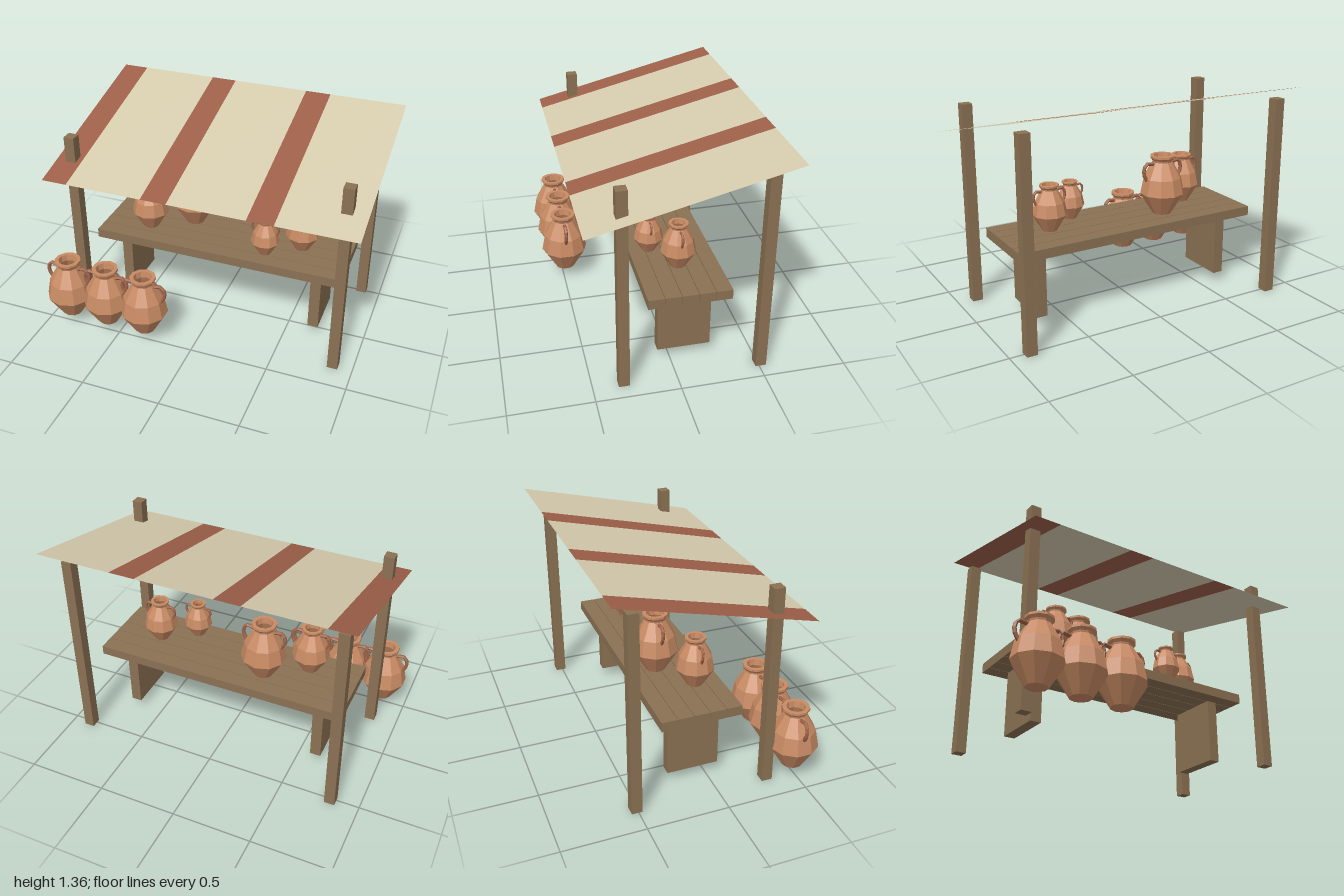
import * as THREE from 'three';

const flat = (name, color, extra = {}) => {
  const m = new THREE.MeshStandardMaterial({ color, flatShading: true, ...extra });
  m.name = name;
  return m;
};

export function createModel() {
  const wood = flat('wood', 0x8b7153);
  const clay = flat('clay', 0xc98b64);
  const darkClay = flat('dark clay', 0xa0654a);
  const cream = flat('cream cloth', 0xd6ccae, { side: THREE.DoubleSide });
  const red = flat('red cloth', 0x9e6049, { side: THREE.DoubleSide });

  const model = new THREE.Group();
  model.name = 'marketStall';

  const add = (name, geometry, material, parent, x = 0, y = 0, z = 0) => {
    const mesh = new THREE.Mesh(geometry, material);
    mesh.name = name;
    mesh.position.set(x, y, z);
    parent.add(mesh);
    return mesh;
  };

  // Four corner posts
  const postGeo = new THREE.BoxGeometry(0.065, 1.277, 0.065);
  for (const x of [-0.823, 0.877])
    for (const z of [0.317, -0.51]) add('post', postGeo, wood, model, x, 0.6385, z);

  // Sloping striped awning, a thin sheet that is low at the front
  const awning = new THREE.Group();
  awning.name = 'awning';
  model.add(awning);
  const depth = 1.175, rise = 0.29, strip = 0.16;
  const addStrip = (name, first, count, material) => {
    const geo = new THREE.PlaneGeometry(count * strip, Math.hypot(depth, rise));
    geo.rotateX(-Math.atan2(depth, rise));
    add(name, geo, material, awning, -0.92 + (first + count / 2) * strip, 1.215, -0.0525);
  };
  for (let i = 0; i < 12; i += 4) {
    addStrip('redStripe', i, 1, red);
    addStrip('creamPanel', i + 1, 3, cream);
  }

  // Table: five planks on two slab legs
  const table = new THREE.Group();
  table.name = 'table';
  model.add(table);
  const plankGeo = new THREE.BoxGeometry(1.632, 0.06, 0.096);
  for (let i = 0; i < 5; i++) add('plank', plankGeo, wood, table, 0.028, 0.5, 0.115 - i * 0.1);
  const legGeo = new THREE.BoxGeometry(0.068, 0.406, 0.324);
  for (const x of [-0.623, 0.676]) add('tableLeg', legGeo, wood, table, x, 0.268, -0.086);

  // Ten-sided hollow jar
  const profile = [
    [0, 0], [0.064, 0], [0.15, 0.143], [0.128, 0.25], [0.067, 0.358], [0.07, 0.37],
    [0.083, 0.386], [0.083, 0.4], [0.058, 0.4], [0.052, 0.36], [0.1, 0.25], [0, 0.14],
  ].map(([r, y]) => new THREE.Vector2(r, y));
  const jarGeo = new THREE.LatheGeometry(profile, 10);
  const handlePath = new THREE.CatmullRomCurve3([
    new THREE.Vector3(0.06, 0.342, 0), new THREE.Vector3(0.125, 0.35, 0),
    new THREE.Vector3(0.145, 0.29, 0), new THREE.Vector3(0.11, 0.225, 0),
  ]);
  const handleGeo = new THREE.TubeGeometry(handlePath, 7, 0.012, 6);

  const addJar = (name, x, y, z, scale) => {
    const jar = new THREE.Group();
    jar.name = name;
    add('jarBody', jarGeo, clay, jar);
    add('leftHandle', handleGeo, darkClay, jar);
    add('rightHandle', handleGeo, darkClay, jar).rotation.y = Math.PI;
    jar.position.set(x, y, z);
    jar.scale.setScalar(scale);
    model.add(jar);
  };

  // Three large jars beside the table, four smaller ones on it
  for (const x of [-0.84, -0.577, -0.317]) addJar('floorJar', x, 0.08, 0.485, 1);
  addJar('tableJar', -0.474, 0.54, -0.003, 0.785);
  addJar('tableJar', -0.222, 0.54, -0.16, 0.945);
  addJar('tableJar', 0.328, 0.54, 0.045, 0.6);
  addJar('tableJar', 0.533, 0.54, -0.087, 0.715);

  return model;
}
